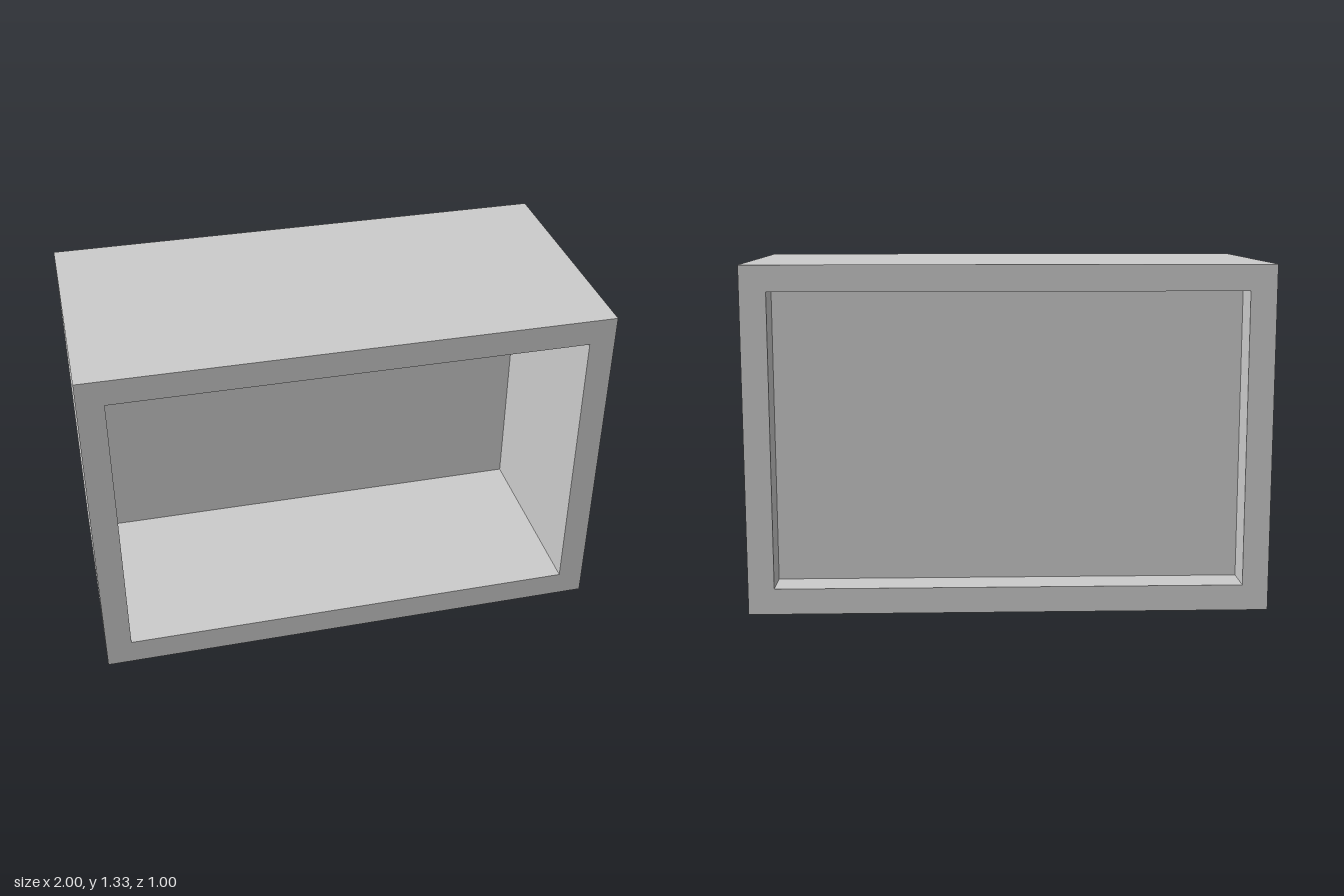
import * as THREE from 'three';

const WIDTH = 2, HEIGHT = 1.333, DEPTH = 1, WALL = 0.1;

// Rectangle outline centred on x, standing on y = inset
function rectangle(PathType, inset) {
  const x = WIDTH / 2 - inset, top = HEIGHT - inset;
  return new PathType([
    new THREE.Vector2(-x, inset),
    new THREE.Vector2(x, inset),
    new THREE.Vector2(x, top),
    new THREE.Vector2(-x, top),
  ]);
}

export function createModel() {
  const model = new THREE.Group();
  model.name = 'openBoxShelf';
  const material = new THREE.MeshStandardMaterial({ color: 0xcccccc });

  // Four-sided casing, open at front and back
  const outline = rectangle(THREE.Shape, 0);
  outline.holes.push(rectangle(THREE.Path, WALL));
  const casing = new THREE.Mesh(
    new THREE.ExtrudeGeometry(outline, { depth: DEPTH, bevelEnabled: false }),
    material
  );
  casing.name = 'casing';
  casing.position.z = -DEPTH / 2;
  model.add(casing);

  // Back panel, set in from the rear edge
  const backPanel = new THREE.Mesh(
    new THREE.BoxGeometry(WIDTH - 2 * WALL, HEIGHT - 2 * WALL, WALL),
    material
  );
  backPanel.name = 'backPanel';
  backPanel.position.set(0, HEIGHT / 2, -0.31);
  model.add(backPanel);

  return model;
}
